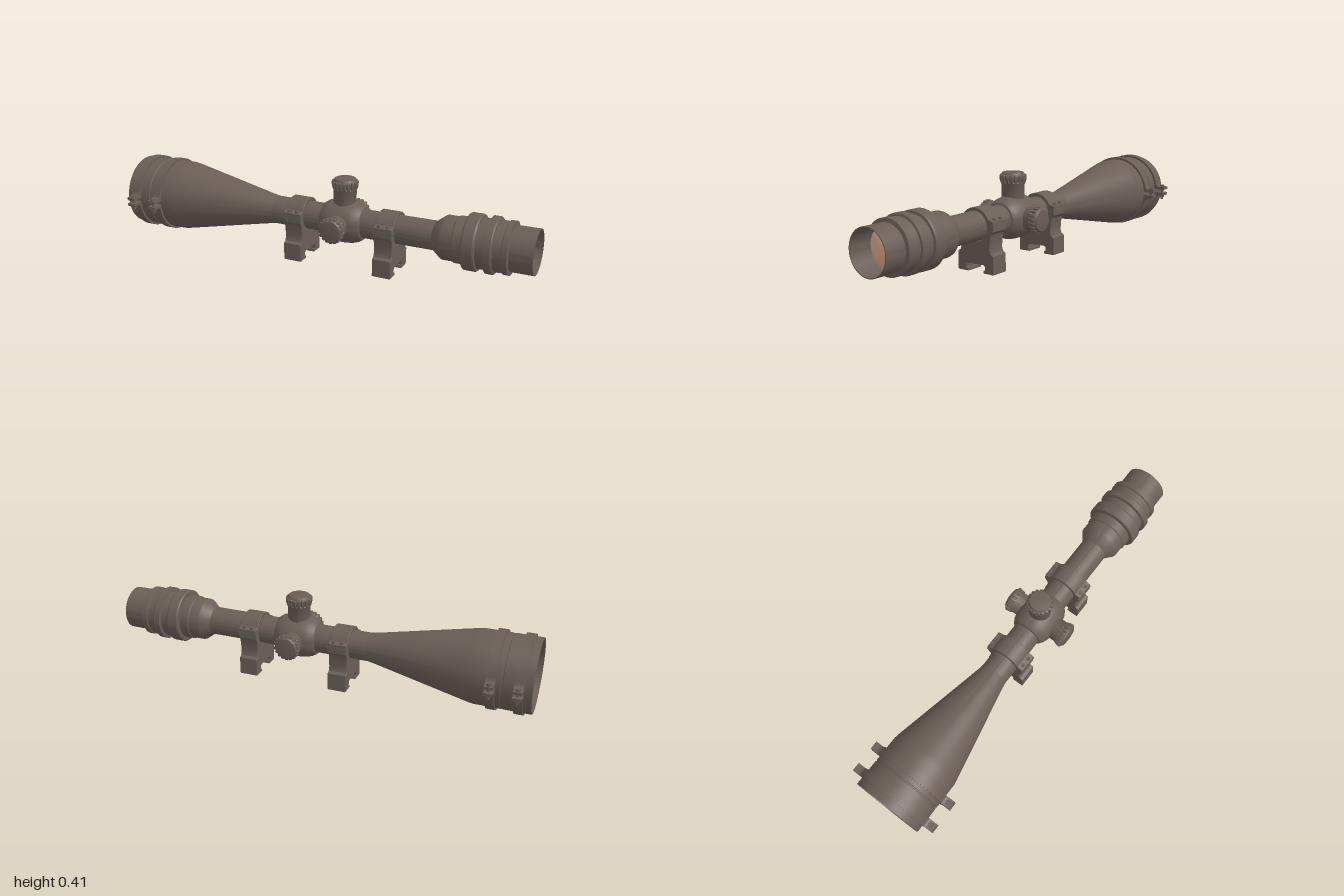
import * as THREE from 'three';
import { toCreasedNormals } from 'three/addons/utils/BufferGeometryUtils.js';

const bodyMat = new THREE.MeshStandardMaterial({ color: 0x6a5e56 });
const lensMat = new THREE.MeshStandardMaterial({ color: 0xe0aa90 });

function part(parent, name, geometry, material = bodyMat) {
  const mesh = new THREE.Mesh(geometry, material);
  mesh.name = name;
  parent.add(mesh);
  return mesh;
}

// Lathe around y from [radius, height] pairs, with sharp steps kept sharp
function lathe(pairs, segments = 64, rule) {
  const g = new THREE.LatheGeometry(pairs.map(([r, h]) => new THREE.Vector2(r, h)), segments);
  if (rule) rule(g.attributes.position);
  return toCreasedNormals(g, 0.5);
}

// The same, turned so the height runs along +x
const latheX = (pairs) => lathe(pairs).rotateZ(-Math.PI / 2);

// Extrude a (z, y) cross-section along x, centred on x = 0
function extrudeX(shape, width, bevel = 0) {
  const g = new THREE.ExtrudeGeometry(shape, {
    depth: width - 2 * bevel, curveSegments: 40,
    bevelEnabled: bevel > 0, bevelSize: bevel, bevelThickness: bevel, bevelOffset: -bevel, bevelSegments: 1,
  });
  g.translate(0, 0, -width / 2 + bevel).rotateY(Math.PI / 2);
  return toCreasedNormals(g, 0.5);
}

// Adjustment knob with flutes cut around its flared cap
function knobGeometry() {
  const profile = [[0.052, 0.07], [0.053, 0.15], [0.057, 0.158], [0.058, 0.164], [0.06, 0.168],
    [0.062, 0.188], [0.061, 0.192], [0.053, 0.196], [0.048, 0.204], [0.043, 0.205], [0, 0.205]];
  return lathe(profile, 144, (pos) => {
    for (let i = 0; i < pos.count; i++) {
      const y = pos.getY(i);
      if (y < 0.162 || y > 0.193) continue;
      const a = Math.atan2(pos.getZ(i), pos.getX(i));
      const k = Math.cos(18 * a) > 0.3 ? 0.91 : 1;
      pos.setX(i, pos.getX(i) * k);
      pos.setZ(i, pos.getZ(i) * k);
    }
  });
}

// Upper half of a clamp band with an outward ear on each side
function bandGeometry() {
  const s = new THREE.Shape(), a = 0.25, r = 0.178;
  s.moveTo(0.163, 0.008);
  s.lineTo(0.222, 0.008);
  s.lineTo(0.222, 0.022);
  s.lineTo(0.192, 0.022);
  s.quadraticCurveTo(0.178, 0.024, r * Math.cos(a), r * Math.sin(a));
  s.absarc(0, 0, r, a, Math.PI - a, false);
  s.quadraticCurveTo(-0.178, 0.024, -0.192, 0.022);
  s.lineTo(-0.222, 0.022);
  s.lineTo(-0.222, 0.008);
  s.lineTo(-0.163, 0.008);
  s.absarc(0, 0, 0.163, Math.PI - 0.05, 0.05, true);
  return extrudeX(s, 0.04);
}

function createClamp() {
  const clamp = new THREE.Group();
  clamp.name = 'objectiveClamp';
  const band = bandGeometry();
  part(clamp, 'upperBand', band);
  part(clamp, 'lowerBand', band).rotation.x = Math.PI;
  for (const side of [-1, 1]) {
    const bolt = new THREE.Group();
    bolt.name = 'clampBolt';
    bolt.position.z = side * 0.202;
    part(bolt, 'shank', new THREE.CylinderGeometry(0.007, 0.007, 0.07, 12)).position.y = -0.01;
    part(bolt, 'head', new THREE.CylinderGeometry(0.012, 0.012, 0.009, 16)).position.y = 0.026;
    part(bolt, 'nut', new THREE.CylinderGeometry(0.013, 0.013, 0.012, 6)).position.y = -0.028;
    clamp.add(bolt);
  }
  return clamp;
}

// Ring mount: round cap, screw flanges, saddle and slotted rail foot
function createMount() {
  const mount = new THREE.Group();
  mount.name = 'ringMount';
  const cy = 0.204, a = 0.48, r = 0.083;
  const half = [[0.1, 0.234], [0.1, 0.19], [0.088, 0.176], [0.083, 0.15], [0.08, 0.11], [0.086, 0.092],
    [0.1, 0.083], [0.1, 0.003], [0.098, 0], [0.042, 0], [0.042, 0.012], [0.052, 0.014], [0.052, 0.03], [0.046, 0.037]];
  const s = new THREE.Shape();
  s.absarc(0, cy, r, a, Math.PI - a, false);
  half.forEach(([z, y]) => s.lineTo(-z, y));
  half.slice().reverse().forEach(([z, y]) => s.lineTo(z, y));
  s.closePath();
  const bore = new THREE.Path();
  bore.absarc(0, cy, 0.065, 0, Math.PI * 2, true);
  s.holes.push(bore);
  part(mount, 'ringAndFoot', extrudeX(s, 0.088, 0.002));
  const screw = new THREE.CylinderGeometry(0.008, 0.008, 0.014, 12);
  for (const z of [-0.088, 0.088])
    for (const x of [-0.02, 0.02]) part(mount, 'capScrew', screw).position.set(x, 0.24, z);
  // Split line between cap and saddle
  for (const z of [-0.095, 0.095])
    part(mount, 'flangeLip', new THREE.BoxGeometry(0.092, 0.014, 0.012)).position.set(0, 0.212, z);
  return mount;
}

export function createModel() {
  const model = new THREE.Group();
  model.name = 'rifleScope';
  const scope = new THREE.Group();
  scope.name = 'scopeBody';
  scope.position.y = 0.2045;
  scope.rotation.z = 0.005;
  model.add(scope);

  // Objective bell, hollow at the front
  part(scope, 'objectiveBell', latheX([[0, -0.9], [0.158, -0.9], [0.16, -1], [0.168, -1], [0.168, -0.876], [0.165, -0.874],
    [0.165, -0.869], [0.168, -0.867], [0.168, -0.745], [0.165, -0.725], [0.079, -0.31], [0.07, -0.265], [0.066, -0.24]]));
  part(scope, 'objectiveLens', latheX([[0, -0.93], [0.06, -0.927], [0.11, -0.92], [0.16, -0.906]]), lensMat);
  for (const x of [-0.945, -0.825]) {
    const clamp = createClamp();
    clamp.position.x = x;
    scope.add(clamp);
  }

  // Main tube
  part(scope, 'mainTube', latheX([[0.066, -0.26], [0.066, 0.58]]));

  // Turret saddle and its three knobs
  part(scope, 'turretHousing', latheX([[0.064, 0.008], [0.076, 0.012], [0.088, 0.03], [0.096, 0.055], [0.1, 0.085],
    [0.1, 0.135], [0.096, 0.165], [0.088, 0.19], [0.076, 0.208], [0.064, 0.212]]));
  const knob = knobGeometry();
  part(scope, 'elevationKnob', knob).position.x = 0.11;
  for (const side of [-1, 1]) {
    const sideKnob = part(scope, side > 0 ? 'focusKnob' : 'windageKnob', knob);
    sideKnob.position.x = 0.11;
    sideKnob.rotation.x = side * Math.PI / 2;
    sideKnob.scale.y = 0.815;
  }

  // Eyepiece with raised rings and a hollow rear cup
  part(scope, 'eyepiece', latheX([[0.066, 0.55], [0.072, 0.558], [0.098, 0.592], [0.1, 0.6], [0.1, 0.648], [0.105, 0.652],
    [0.105, 0.694], [0.123, 0.696], [0.127, 0.702], [0.127, 0.748], [0.123, 0.755], [0.112, 0.757], [0.112, 0.792],
    [0.127, 0.796], [0.127, 0.824], [0.123, 0.829], [0.114, 0.831], [0.112, 0.868], [0.118, 0.871], [0.118, 0.895],
    [0.101, 0.898], [0.101, 1], [0.097, 1], [0.096, 0.88], [0, 0.88]]));
  part(scope, 'eyepieceLens', latheX([[0.096, 0.882], [0.09, 0.898], [0.078, 0.908], [0.055, 0.918], [0.028, 0.923], [0, 0.925]]), lensMat);

  // Mounts
  for (const x of [-0.115, 0.334]) {
    const mount = createMount();
    mount.position.x = x;
    model.add(mount);
  }
  return model;
}
